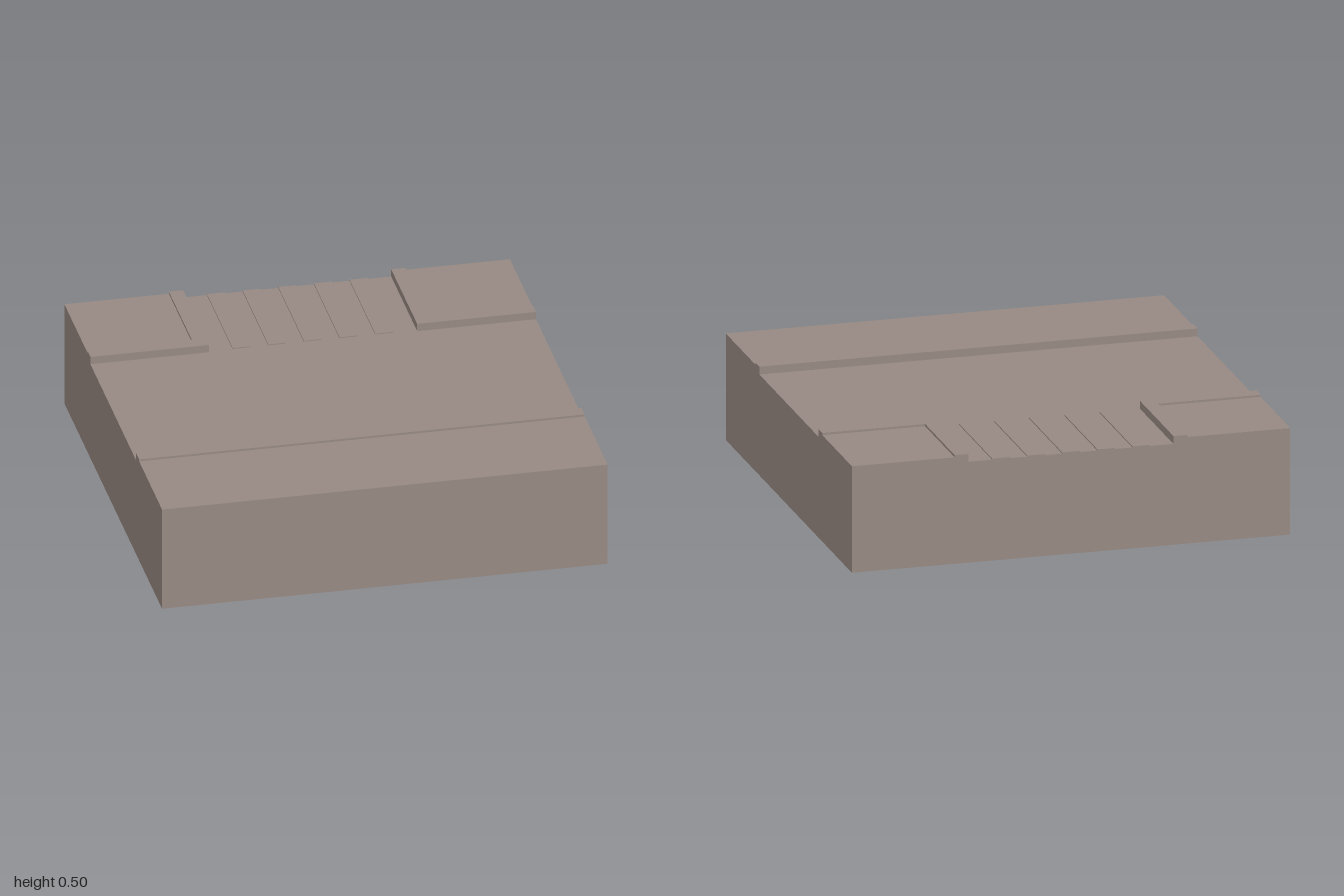
import * as THREE from 'three';

const ROAD = 0.464, WALK = 0.49, CURB = 0.5;   // surface heights
const IN = 0.467, OUT = 0.531;                 // curb faces, distance from centre

export function createModel() {
  const group = new THREE.Group();
  const stone = new THREE.MeshStandardMaterial({ color: 0x998b84, side: THREE.DoubleSide });
  stone.name = 'warm grey stone';

  function add(name, geometry) {
    const mesh = new THREE.Mesh(geometry, stone);
    mesh.name = name;
    group.add(mesh);
  }

  // Box given by its limits, left open underneath
  function openBox(name, x0, x1, y0, y1, z0, z1) {
    const g = new THREE.BoxGeometry(x1 - x0, y1 - y0, z1 - z0);
    const index = Array.from(g.index.array);
    index.splice(18, 6); // bottom face
    g.setIndex(index);
    g.clearGroups();
    g.translate((x0 + x1) / 2, (y0 + y1) / 2, (z0 + z1) / 2);
    add(name, g);
  }

  // Hollow base whose top is the road
  openBox('roadBase', -1, 1, 0, ROAD, -1, 1);

  // Straight pavement along the front
  openBox('frontPavement', -1, 1, ROAD, WALK, OUT, 1);
  openBox('frontCurb', -1, 1, ROAD, CURB, IN, OUT);

  // Corner pavements with L-shaped curbs at the back
  for (const [side, s] of [['left', 1], ['right', -1]]) {
    openBox(side + 'CornerPavement', Math.min(s * OUT, s), Math.max(s * OUT, s), ROAD, WALK, -1, -OUT);
    const outline = [[IN, IN], [1, IN], [1, OUT], [OUT, OUT], [OUT, 1], [IN, 1]];
    const shape = new THREE.Shape(outline.map(([x, y]) => new THREE.Vector2(s * x, y)));
    const curb = new THREE.ExtrudeGeometry(shape, { depth: CURB - ROAD, bevelEnabled: false });
    curb.rotateX(-Math.PI / 2).translate(0, ROAD, 0);
    add(side + 'CornerCurb', curb);
  }

  // Raised crossing stripes on the side road
  for (let i = -2; i <= 2; i++) {
    const x = i * 0.16;
    openBox('crossingStripe', x - 0.04, x + 0.04, ROAD, ROAD + 0.005, -1, -0.475);
  }

  return group;
}
